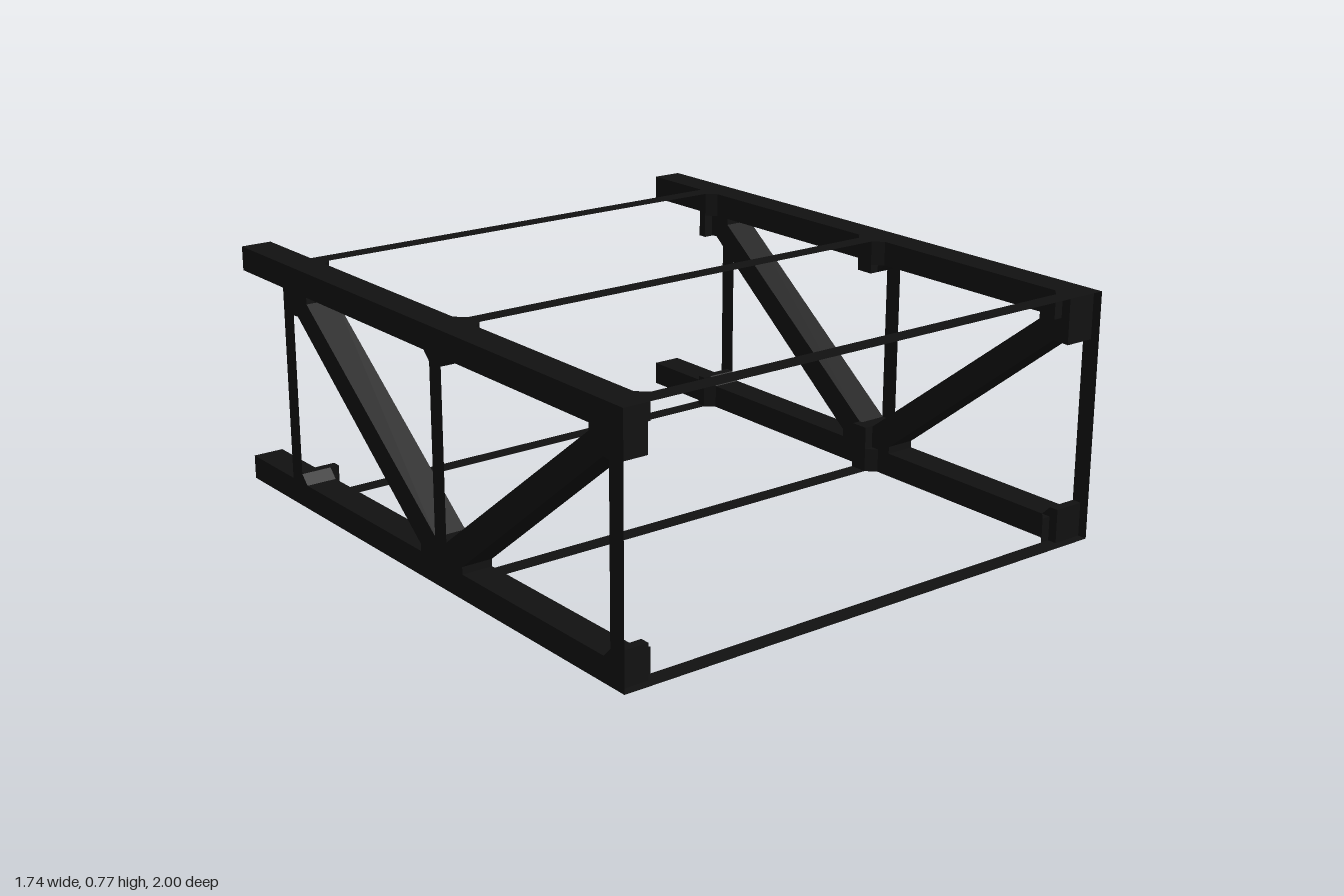
import * as THREE from 'three';

const W = 0.87, IN = 0.77, H = 0.775, RAIL = 0.077, MID = 0.13, SPAN = 0.84, STRIP = 0.06;
const steel = new THREE.MeshStandardMaterial({ color: 0x111111 });
const sheet = new THREE.MeshStandardMaterial({ color: 0x111111, side: THREE.DoubleSide });

export function createModel() {
  const root = new THREE.Group();
  root.name = 'trussFrame';

  const add = (parent, name, geometry, material = steel) => {
    const mesh = new THREE.Mesh(geometry, material);
    mesh.name = name;
    parent.add(mesh);
  };
  const box = (x0, x1, y0, y1, z0, z1) =>
    new THREE.BoxGeometry(x1 - x0, y1 - y0, z1 - z0)
      .translate((x0 + x1) / 2, (y0 + y1) / 2, (z0 + z1) / 2);
  const extrude = (points, depth) =>
    new THREE.ExtrudeGeometry(
      new THREE.Shape(points.map(([a, b]) => new THREE.Vector2(a, b))),
      { depth, bevelEnabled: false });
  // Outline in (z, y), extruded along x up to x1
  const sidePlate = (points, x1) => extrude(points, W - IN).rotateY(-Math.PI / 2).translate(x1, 0, 0);
  // Outline in (x, z), extruded down from y1
  const planPlate = (points, y1) => extrude(points, RAIL).rotateX(Math.PI / 2).translate(0, y1, 0);

  // Diagonal with its end gussets: (distance from the middle post, y)
  const diagonal = [
    [SPAN, 0.75], [SPAN, 0.622], [0.784, 0.625], [0.11, 0.1], [0.11, 0.02], [0, 0.02],
    [0, 0.146], [0.027, 0.146], [0.725, 0.677], [0.725, 0.75],
  ];
  const footGusset = [[SPAN, 0.05], [SPAN, 0.107], [0.81, 0.107], [0.78, RAIL], [0.78, 0.05]];
  const midGusset = [[0, 0.72], [0, 0.67], [0.03, 0.67], [0.06, 0.7], [0.06, 0.72]];

  for (const s of [1, -1]) {
    const truss = new THREE.Group();
    truss.name = s > 0 ? 'leftTruss' : 'rightTruss';
    root.add(truss);
    const x0 = s > 0 ? IN : -W, x1 = x0 + W - IN;
    const innerBox = (y0, y1, z0, z1) =>
      box(s > 0 ? 0.74 : -IN, s > 0 ? IN : -0.74, y0, y1, z0, z1);

    // Long rails run past the rear post
    add(truss, 'bottomRail', box(x0, x1, 0, RAIL, -1, MID + SPAN));
    add(truss, 'topRail', box(x0, x1, H - RAIL, H, -1, MID + SPAN));

    // Diagonals and gussets mirrored about the middle post
    for (const d of [1, -1]) {
      const place = (pts) => sidePlate(pts.map(([u, y]) => [MID + d * u, y]), x1);
      add(truss, 'diagonal', place(diagonal));
      add(truss, 'footGusset', place(footGusset));
      add(truss, 'midGusset', place(midGusset));
    }

    // Flat posts on the outer face
    for (const d of [-1, 0, 1]) {
      add(truss, 'post', new THREE.PlaneGeometry(STRIP, H)
        .rotateY(Math.PI / 2).translate(s * W, H / 2, MID + d * SPAN), sheet);
    }

    // Inner joint blocks carrying the cross strips
    add(truss, 'midBottomJoint', innerBox(0, 0.15, MID - 0.03, MID + 0.03));
    add(truss, 'midTopJoint', innerBox(0.67, H, MID - 0.03, MID + 0.03));
    add(truss, 'rearTopJoint', innerBox(0.622, H, MID - SPAN, MID - SPAN + 0.03));
    add(truss, 'rearBottomJoint', innerBox(0, 0.107, MID - SPAN, MID - SPAN + 0.03));

    // Chamfered corners between rails and cross strips
    for (const y of [RAIL, H]) {
      for (const [z, dir] of [[MID + SPAN, -1], [MID, 1], [MID, -1], [MID - SPAN, 1]]) {
        const a = z + dir * 0.03, b = z + dir * 0.06;
        add(truss, 'cornerBrace', planPlate([[s * IN, a], [s * 0.74, a], [s * IN, b]], y));
      }
    }
  }

  // Flat cross strips joining the two trusses
  for (const [name, y] of [['bottomCrossStrip', 0], ['topCrossStrip', H]]) {
    for (const d of [-1, 0, 1]) {
      add(root, name, new THREE.PlaneGeometry(2 * W, STRIP)
        .rotateX(-Math.PI / 2).translate(0, y, MID + d * SPAN), sheet);
    }
  }
  return root;
}
